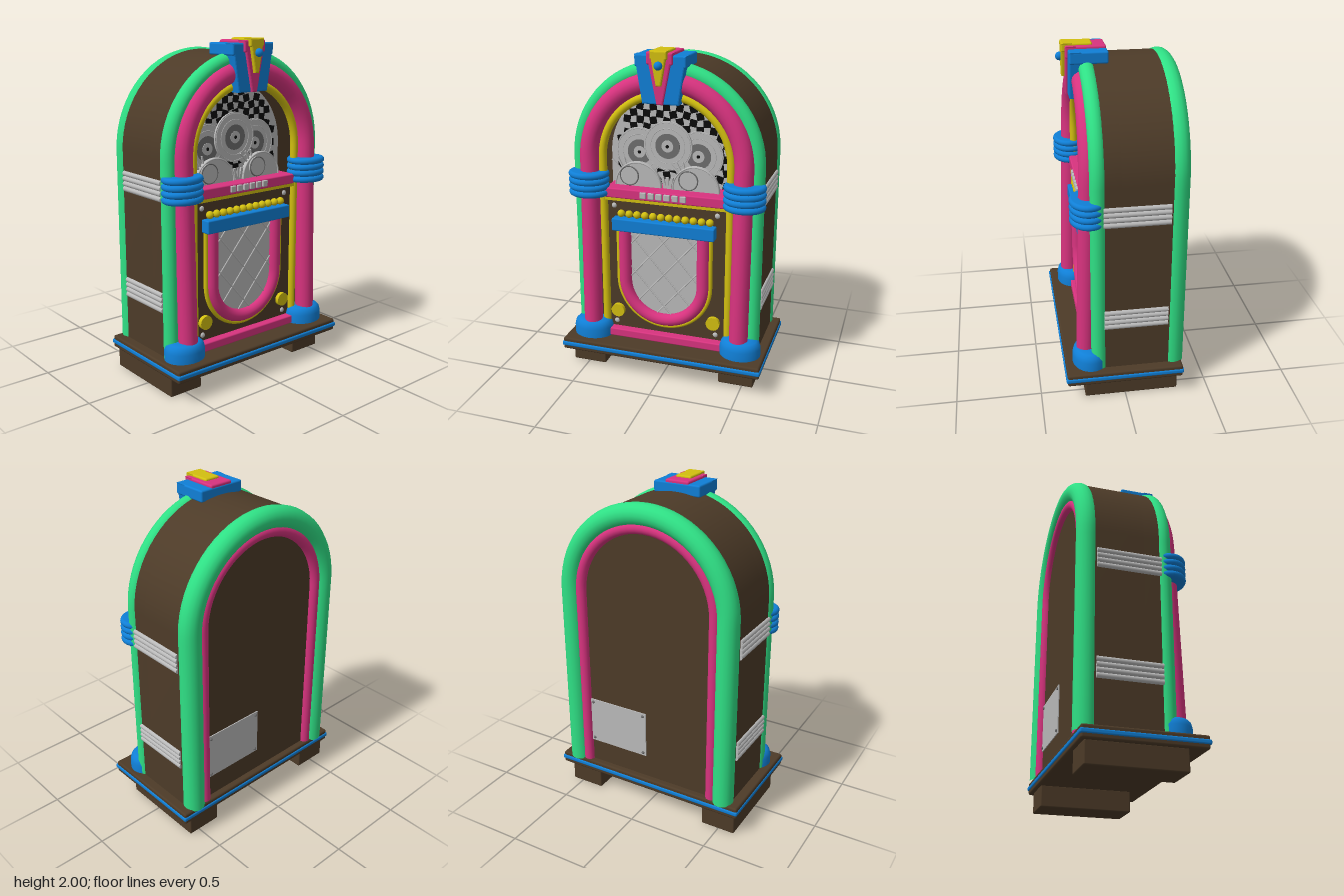
import * as THREE from 'three';
import { toCreasedNormals } from 'three/addons/utils/BufferGeometryUtils.js';
import { RoundedBoxGeometry } from 'three/addons/geometries/RoundedBoxGeometry.js';

const ARCH_Y = 1.355; // height where the straight sides turn into the arch
const BASE_Y = 0.2;

// Two straight legs joined by a half circle; yc below y0 gives a U
class ArchCurve extends THREE.Curve {
  constructor(r, y0, yc, zAt) {
    super();
    Object.assign(this, { r, y0, yc, zAt });
  }
  getPoint(t, target = new THREE.Vector3()) {
    const { r, y0, yc } = this;
    const leg = Math.abs(yc - y0), s = Math.sign(yc - y0), arc = Math.PI * r;
    const d = t * (2 * leg + arc);
    let x, y;
    if (d < leg) { x = -r; y = y0 + s * d; }
    else if (d > leg + arc) { x = r; y = yc - s * (d - leg - arc); }
    else { const a = (d - leg) / r; x = -r * Math.cos(a); y = yc + s * r * Math.sin(a); }
    return target.set(x, y, this.zAt(y));
  }
}

// Closed outline of an arch (or a U when yc is below y0)
function archOutline(r, y0, yc, Type = THREE.Shape) {
  const p = new Type();
  p.moveTo(-r, y0);
  p.lineTo(-r, yc);
  p.absarc(0, yc, r, Math.PI, yc > y0 ? 0 : Math.PI * 2, yc > y0);
  p.lineTo(r, y0);
  p.closePath();
  return p;
}

export function createModel() {
  const root = new THREE.Group();
  root.name = 'jukebox';

  const mat = (name, color) => {
    const m = new THREE.MeshStandardMaterial({ color });
    m.name = name;
    return m;
  };
  const brown = mat('wood brown', 0x4d3b28), green = mat('neon green', 0x2fe085);
  const pink = mat('neon pink', 0xd8337f), blue = mat('bright blue', 0x107fd6);
  const yellow = mat('yellow', 0xd2bf10), silver = mat('light grey', 0xbababa);
  const grey = mat('dark grey', 0x6e6e6e), black = mat('black', 0x0a0a0a);

  const add = (name, geo, material, x = 0, y = 0, z = 0, parent = root) => {
    const m = new THREE.Mesh(geo, material);
    m.name = name;
    m.position.set(x, y, z);
    parent.add(m);
    return m;
  };
  // Box from its limits, with optional rounded edges
  const box = (name, material, [x0, x1], [y0, y1], [z0, z1], round = 0) => {
    const w = x1 - x0, h = y1 - y0, d = z1 - z0;
    const g = round ? new RoundedBoxGeometry(w, h, d, 2, round) : new THREE.BoxGeometry(w, h, d);
    return add(name, g, material, (x0 + x1) / 2, (y0 + y1) / 2, (z0 + z1) / 2);
  };
  const extrude = (name, material, shape, z0, z1) => add(name, toCreasedNormals(
    new THREE.ExtrudeGeometry(shape, { depth: z1 - z0, bevelEnabled: false, curveSegments: 40 }), 0.5), material, 0, 0, z0);
  const tube = (name, material, r, y0, yc, thick, zAt, x = 0) =>
    add(name, new THREE.TubeGeometry(new ArchCurve(r, y0, yc, zAt), 80, thick, 16), material, x);
  // Disc facing the front
  const disc = (name, material, r, depth, x, y, z) =>
    add(name, new THREE.CylinderGeometry(r, r, depth, 32).rotateX(Math.PI / 2), material, x, y, z);

  // Feet and plinth
  box('footRight', brown, [-0.604, -0.388], [0, 0.13], [-0.315, 0.24], 0.008);
  box('footLeft', brown, [0.352, 0.568], [0, 0.13], [-0.315, 0.24], 0.008);
  box('plinth', brown, [-0.627, 0.624], [0.125, 0.2], [-0.337, 0.348], 0.012);
  box('plinthStripe', blue, [-0.632, 0.63], [0.149, 0.178], [-0.343, 0.356], 0.01);

  // Cabinet: solid rear, hollow front rim, lower front panel
  extrude('cabinet', brown, archOutline(0.568, BASE_Y, ARCH_Y), -0.3, 0.03);
  const rim = archOutline(0.568, BASE_Y, ARCH_Y);
  rim.holes.push(archOutline(0.39, BASE_Y + 0.04, ARCH_Y, THREE.Path));
  extrude('cabinetFrontRim', brown, rim, 0.03, 0.16);
  box('frontPanel', brown, [-0.39, 0.39], [BASE_Y, 1.12], [0.03, 0.175]);

  // Neon tubes
  tube('frontGreenTube', green, 0.535, BASE_Y, ARCH_Y, 0.046, () => 0.153);
  tube('frontPinkTube', pink, 0.468, BASE_Y, ARCH_Y, 0.057, y => 0.225 - 0.027 * (y - 0.2));
  tube('frontYellowTrim', yellow, 0.39, BASE_Y, ARCH_Y, 0.024, () => 0.18);
  tube('backGreenTube', green, 0.515, 0.19, ARCH_Y, 0.064, () => -0.289);
  tube('backPinkTube', pink, 0.44, BASE_Y, ARCH_Y, 0.034, () => -0.3);

  // Ribbed blue clamps and domed shoes around the front tubes
  const ribs = [new THREE.Vector2(0, 1.12)];
  for (let i = 0; i < 4; i++)
    for (let k = 0; k <= 8; k++) {
      const a = -Math.PI / 2 + (k / 8) * Math.PI;
      ribs.push(new THREE.Vector2(0.105 + 0.019 * Math.cos(a), 1.139 + i * 0.0375 + 0.019 * Math.sin(a)));
    }
  ribs.push(new THREE.Vector2(0, 1.27));
  const shoe = [[0, 0.2], [0.124, 0.2], [0.124, 0.255], [0.116, 0.283], [0.1, 0.298], [0.075, 0.305], [0, 0.305]]
    .map(p => new THREE.Vector2(...p));
  for (const s of [-1, 1]) {
    const side = s > 0 ? 'Left' : 'Right';
    add('ribbedClamp' + side, new THREE.LatheGeometry(ribs, 32).scale(1, 1, 0.855), blue, s * 0.475, 0, 0.198);
    add('tubeShoe' + side, toCreasedNormals(new THREE.LatheGeometry(shoe, 32).scale(1, 1, 0.855), 0.7), blue, s * 0.475, 0, 0.198);
    // Chrome side strips
    for (const [y0, zFront] of [[1.135, 0.13], [0.483, 0.125]])
      for (let i = 0; i < 4; i++)
        add('sideStrip' + side, new THREE.CylinderGeometry(0.0155, 0.0155, zFront + 0.245, 12).rotateX(Math.PI / 2),
          silver, s * 0.567, y0 + i * 0.0305, (zFront - 0.245) / 2);
  }

  // Display window backdrop with staggered black tiles
  extrude('windowBackdrop', silver, archOutline(0.39, 1.12, ARCH_Y), 0.03, 0.035);
  for (let r = 0; r < 15; r++)
    for (let c = -9; c <= 9; c++) {
      if ((r + c) % 2) continue;
      const x = c * 0.041, y = 1.19 + r * 0.041;
      if (Math.hypot(x, Math.max(0, y - ARCH_Y)) > 0.365) continue;
      const t = add('windowTile', new THREE.BoxGeometry(0.043, 0.043, 0.006), black, x, y, 0.037);
      t.rotation.z = 0.25 * Math.sin(r * 2.1 + c * 1.3);
    }

  // Records
  const record = (x, y, z) => {
    disc('record', silver, 0.148, 0.012, x, y, z);
    disc('recordLabel', grey, 0.075, 0.006, x, y, z + 0.007);
    disc('recordHub', silver, 0.036, 0.006, x, y, z + 0.01);
    disc('recordHole', black, 0.01, 0.006, x, y, z + 0.012);
    for (const rr of [0.105, 0.14])
      add('recordGroove', new THREE.TorusGeometry(rr, 0.002, 6, 40), silver, x, y, z + 0.007);
  };
  record(-0.2, 1.37, 0.06);
  record(0.165, 1.37, 0.06);
  record(-0.015, 1.425, 0.09);
  // Turntables with small dials and tone arms
  for (const [x, dx] of [[-0.19, -0.24], [0.165, 0.125]]) {
    disc('turntable', silver, 0.145, 0.02, x, 1.18, 0.12);
    add('turntableEdge', new THREE.TorusGeometry(0.14, 0.005, 8, 40), silver, x, 1.18, 0.13);
    disc('dial', silver, 0.058, 0.014, dx, 1.24, 0.137);
    add('dialEdge', new THREE.TorusGeometry(0.057, 0.004, 8, 32), grey, dx, 1.24, 0.143);
    for (const a of [0.25, 0.5, 0.75])
      add('toneArm', new THREE.BoxGeometry(0.009, 0.12, 0.009), silver, dx - 0.1 * a, 1.285, 0.12).rotation.z = a;
  }
  for (const a of [-0.2, 0, 0.2])
    add('centrePin', new THREE.BoxGeometry(0.016, 0.09, 0.012), silver, -0.01 - a * 0.1, 1.2, 0.12).rotation.z = a;

  // Key shelf
  box('keyShelf', pink, [-0.372, 0.366], [1.115, 1.175], [0.03, 0.215], 0.008);
  for (let i = 0; i < 6; i++)
    add('shelfKey', new RoundedBoxGeometry(0.038, 0.038, 0.02, 2, 0.005), silver, -0.129 + i * 0.049, 1.149, 0.217);
  box('shelfTrim', yellow, [-0.38, 0.38], [1.094, 1.113], [0.16, 0.2]);

  // Selector buttons and coin bar
  for (let i = 0; i < 12; i++)
    add('selectorButton', new THREE.SphereGeometry(0.023, 14, 10), yellow, -0.278 + i * 0.05, 1.014, 0.19);
  box('selectorBar', blue, [-0.325, 0.31], [0.913, 0.992], [0.17, 0.235], 0.008);

  // Speaker grille: U-shaped frame, plate and diamond lattice
  const cx = -0.013, uy = 0.59, gr = 0.215;
  tube('grilleYellowTrim', yellow, 0.288, 0.93, uy, 0.015, () => 0.178, cx);
  tube('grillePinkTube', pink, 0.246, 0.93, uy, 0.039, () => 0.18, cx);
  extrude('grillePlate', silver, archOutline(gr, 0.93, uy), 0.17, 0.181).position.x = cx;
  const inside = (x, y) => Math.abs(x) < gr && y < 0.92 && Math.hypot(x, Math.min(0, y - uy)) < gr;
  for (const s of [-1, 1])
    for (let k = -3; k <= 3; k++) {
      // March along each diagonal to find where it crosses the plate
      const hits = [];
      for (let t = -0.5; t <= 0.5; t += 0.005) {
        const y = 0.645 + k * 0.21 + s * t * 1.15;
        if (inside(t, y)) hits.push(new THREE.Vector3(cx + t, y, 0.182));
      }
      if (hits.length < 4) continue;
      add('grilleLattice', new THREE.TubeGeometry(new THREE.LineCurve3(hits[0], hits[hits.length - 1]), 1, 0.005, 6), silver);
    }

  // Lower trim, round knobs and screws
  box('lowerTrim', pink, [-0.37, 0.37], [0.2, 0.252], [0.15, 0.225], 0.008);
  for (const x of [-0.313, 0.3]) {
    disc('knob', yellow, 0.042, 0.03, x, 0.367, 0.185);
    for (const y of [0.287, 1.056])
      add('screw', new THREE.SphereGeometry(0.016, 12, 8).scale(1, 1, 0.6), silver, x * 1.045, y, 0.177);
  }

  // Crest: stacked tapering fronts with slabs running back over the arch
  const crest = (name, material, [topW, botW], [y0, y1], [z0, z1], backZ, slabY) => {
    const s = new THREE.Shape([[-topW, y1], [-botW, y0], [botW, y0], [topW, y1]].map(p => new THREE.Vector2(...p)));
    const b = 0.008;
    add(name + 'Front', new THREE.ExtrudeGeometry(s, { depth: z1 - z0 - 2 * b, bevelSize: b, bevelThickness: b, bevelSegments: 2 }),
      material, -0.008, 0, z0 + b);
    const w = topW + b;
    box(name + 'Top', material, [-0.008 - w, -0.008 + w], [slabY, y1 + b], [backZ, z1], 0.01);
  };
  crest('crestBlue', blue, [0.142, 0.1], [1.708, 1.965], [0.18, 0.25], 0.033, 1.905);
  crest('crestPink', pink, [0.068, 0.012], [1.708, 1.98], [0.2, 0.264], 0.036, 1.92);
  crest('crestYellow', yellow, [0.042, 0.008], [1.815, 1.992], [0.22, 0.284], 0.11, 1.95);
  add('crestBall', new THREE.SphereGeometry(0.024, 16, 12), blue, -0.004, 1.92, 0.29);

  // Rear service plate
  box('servicePlate', silver, [0.01, 0.41], [0.345, 0.64], [-0.306, -0.299]);
  for (const x of [0.03, 0.39])
    for (const y of [0.365, 0.62])
      add('plateScrew', new THREE.SphereGeometry(0.01, 10, 8), grey, x, y, -0.305);

  return root;
}
